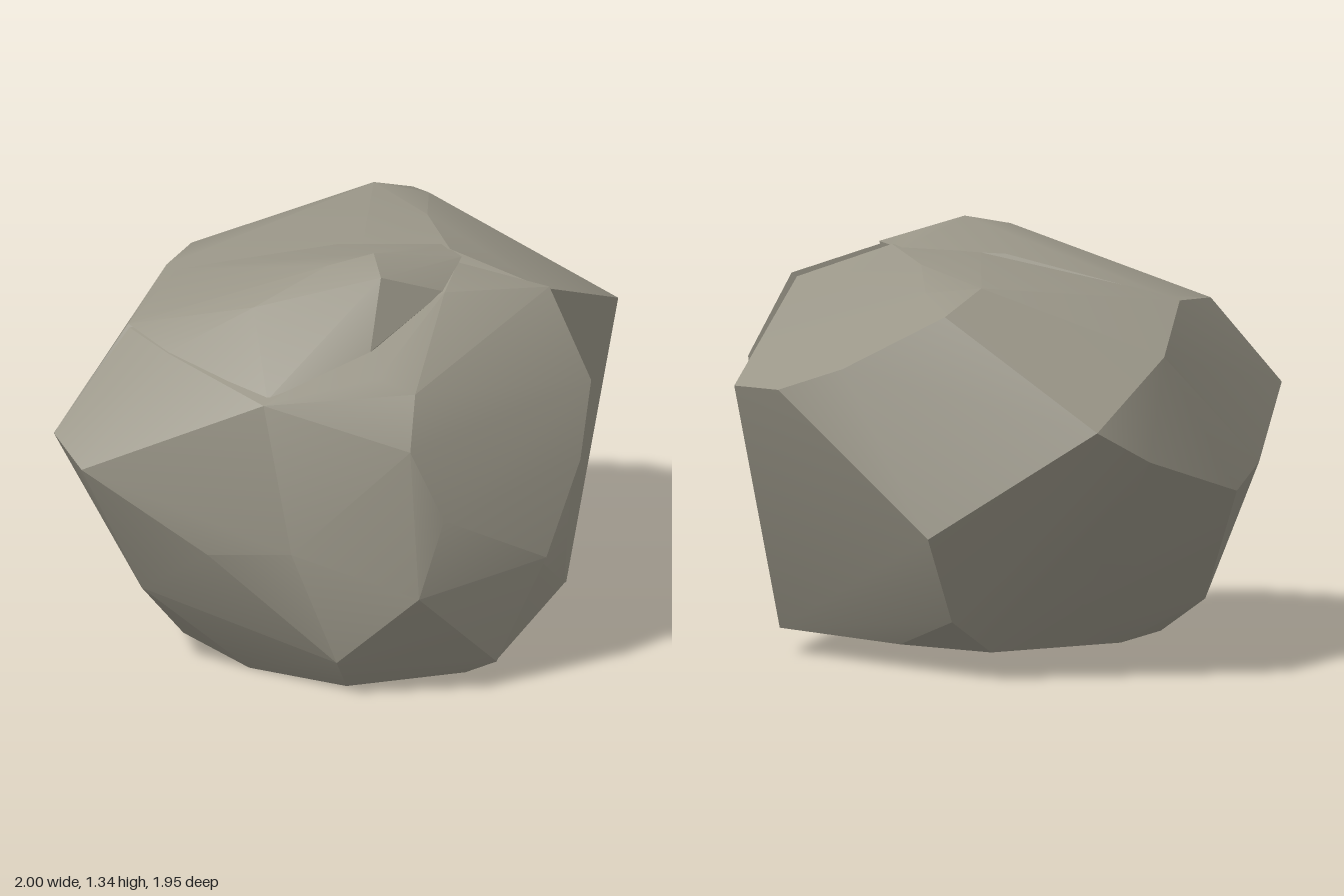
import * as THREE from 'three';
import { ConvexGeometry } from 'three/addons/geometries/ConvexGeometry.js';
import { toCreasedNormals } from 'three/addons/utils/BufferGeometryUtils.js';

const stone = new THREE.MeshStandardMaterial({ color: 0x9a9688 });
stone.name = 'greyStone';

// A chiselled block spanned by its corner points, soft across shallow edges
function block(name, corners) {
  const points = corners.map(([x, y, z]) => new THREE.Vector3(x, y, z));
  const hull = new ConvexGeometry(points);
  const mesh = new THREE.Mesh(toCreasedNormals(hull, 0.4), stone);
  mesh.name = name;
  return mesh;
}

export function createModel() {
  const rock = new THREE.Group();
  rock.name = 'rock';

  // Main body: flat top, pointed back, undercut sides
  rock.add(block('mainBody', [
    // top rim
    [-0.71, 1.08, 0.1], [-0.45, 1.13, -0.25], [-0.2, 1.02, -0.7], [0.33, 1.24, -0.46],
    [0.48, 1.22, -0.36], [0.36, 1.265, -0.05], [0.3, 1.28, 0.32], [0, 1.27, 0.3], [0.56, 1.17, 0.48],
    // widest belt
    [-1, 0.78, 0.2], [-0.66, 0.62, -0.4], [-0.5, 0.56, -0.59], [-0.26, 0.64, -0.76],
    [-0.05, 0.72, -0.93], [0.15, 0.83, -0.97], [0.5, 1.17, -0.56], [0.79, 1.0, -0.41],
    [0.94, 0.92, -0.24], [1, 0.91, -0.03], [0.62, 0.48, -0.7],
    // foot
    [0.48, 0.19, -0.57], [0.3, 0.07, -0.47], [0.52, 0.08, -0.25], [0.72, 0.08, 0.25],
    [0.4, 0.03, 0.48], [0, 0.19, -0.48], [-0.56, 0.16, -0.2], [-0.45, 0.05, -0.1],
    [-0.28, 0.03, -0.17], [-0.48, 0.01, 0.1], [-0.56, 0.05, 0.2], [0, 0, 0.1], [-0.2, 0, 0.5],
  ]));

  // Front slab, standing proud of the body with a notch on its left side
  rock.add(block('frontSlab', [
    // upper edge
    [-0.71, 1.07, 0.11], [-0.66, 1.05, 0.33], [-0.47, 0.97, 0.69], [-0.1, 1.03, 0.74],
    [0, 0.99, 0.81], [0.2, 1.22, 0.54], [0.57, 1.18, 0.5], [0.29, 1.27, 0.42],
    // bulging face
    [-1, 0.78, 0.2], [-0.98, 0.72, 0.4], [-0.64, 0.47, 0.64], [-0.42, 0.5, 0.81],
    [-0.05, 0.83, 0.9], [-0.05, 0.36, 0.98], [0.05, 0.6, 0.94],
    [0.43, 0.4, 0.85], [0.66, 0.9, 0.64], [0.59, 0.67, 0.73],
    // foot
    [-0.75, 0.27, 0.33], [-0.56, 0.05, 0.2], [-0.43, 0, 0.45], [-0.27, 0.12, 0.82],
    [-0.2, 0, 0.72], [0.2, 0, 0.73], [0.28, 0.05, 0.8], [0.36, 0.01, 0.55],
  ]));

  // Shallow fill in the lower half of the notch
  rock.add(block('notchFill', [
    [0.28, 0.04, 0.78], [0.42, 0.38, 0.78], [0.36, 0.02, 0.6], [0.71, 0.08, 0.26],
    [0.715, 0.45, 0.31], [0.53, 0.62, 0.5], [0.3, 0.3, 0.3], [0.3, 0.05, 0.3],
  ]));

  // Broken crest, running back into the flat top
  rock.add(block('crest', [
    [0, 1.34, 0.43], [-0.15, 1.31, 0.41], [-0.02, 1.3, 0.55], [0.18, 1.31, 0.38],
    [-0.4, 1.2, 0.41], [0.31, 1.28, 0.4], [0.2, 1.22, 0.53], [0.3, 1.275, 0.25],
    [0, 1.26, 0.1], [-0.71, 1.08, 0.1], [-0.66, 1.055, 0.33], [-0.45, 0.98, 0.67],
    [-0.1, 1.1, 0.67], [-0.45, 1.13, -0.2], [0.25, 1.05, 0.25],
  ]));

  return rock;
}
